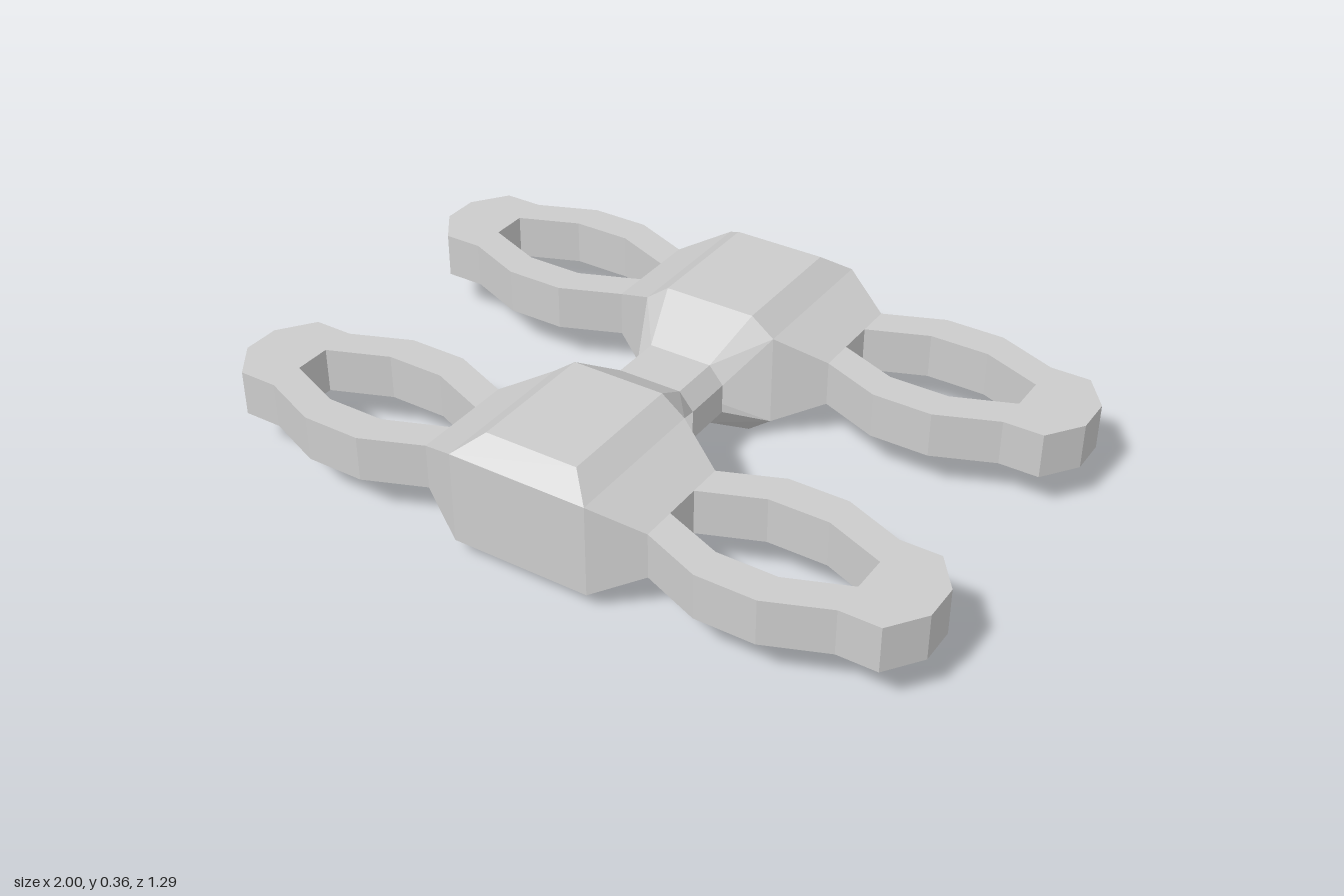
import * as THREE from 'three';
import { ConvexGeometry } from 'three/addons/geometries/ConvexGeometry.js';

const material = new THREE.MeshStandardMaterial({ color: 0xcccccc, flatShading: true });
const MID = 0.1785; // height of the horizontal symmetry plane

function hull(name, points) {
  const mesh = new THREE.Mesh(new ConvexGeometry(points.map((p) => new THREE.Vector3(...p))), material);
  mesh.name = name;
  return mesh;
}

// Corners of a level rectangle mirrored in x
const across = (x, y, z) => [[x, y, z], [-x, y, z]];

// Corners mirrored above and below the middle height
const upDown = (x, h, z) => [[x, MID + h, z], [x, MID - h, z]];

// Flat guard ring, open towards the pod; s = +1 / -1 for the side, zs for the end
function rotorGuard(s, zs) {
  const half = [
    [0.325, 0.148], [0.49, 0.215], [0.655, 0.215], [0.82, 0.148], [0.93, 0.148], [1, 0.052],
  ];
  const hole = [[0.82, 0.052], [0.655, 0.118], [0.49, 0.118], [0.325, 0.052]];
  const flip = (list) => list.map(([x, z]) => [x, -z]).reverse();
  const outline = [...half, ...flip(half), ...flip(hole), ...hole];
  const shape = new THREE.Shape(outline.map(([x, z]) => new THREE.Vector2(s * x, z)));
  const geometry = new THREE.ExtrudeGeometry(shape, { depth: 0.127, bevelEnabled: false });
  geometry.rotateX(-Math.PI / 2);
  geometry.translate(0, MID - 0.0635, zs * 0.43);
  const mesh = new THREE.Mesh(geometry, material);
  mesh.name = s > 0 ? 'leftRotorGuard' : 'rightRotorGuard';
  return mesh;
}

function createPod(zs) {
  const pod = new THREE.Group();
  pod.name = zs > 0 ? 'frontPod' : 'rearPod';

  // Chamfered core
  const core = [];
  for (const s of [1, -1]) {
    for (const z of [0.215, 0.58]) core.push(...upDown(s * 0.13, 0.1785, zs * z));
    for (const z of [0.215, 0.645]) core.push(...upDown(s * 0.195, 0.129, zs * z));
  }
  pod.add(hull('podBody', core));

  // Tapered shoulders and guards on both sides
  for (const s of [1, -1]) {
    const shoulder = [];
    for (const z of [0.215, 0.645]) shoulder.push(...upDown(s * 0.195, 0.129, zs * z));
    for (const z of [0.282, 0.578]) shoulder.push(...upDown(s * 0.325, 0.0635, zs * z));
    pod.add(hull(s > 0 ? 'leftShoulder' : 'rightShoulder', shoulder));
    pod.add(rotorGuard(s, zs));
  }

  // Sloping struts from the pod to the waist, above and below an open gap
  for (const v of [1, -1]) {
    pod.add(hull(v > 0 ? 'upperStrut' : 'lowerStrut', [
      ...across(0.13, MID + v * 0.1785, zs * 0.215),
      ...across(0.195, MID + v * 0.129, zs * 0.215),
      ...across(0.09, MID + v * 0.0895, zs * 0.072),
      ...across(0.13, MID + v * 0.0415, zs * 0.072),
    ]));
  }
  return pod;
}

export function createModel() {
  const model = new THREE.Group();
  model.name = 'twinPodFrame';
  model.add(createPod(1), createPod(-1));

  // Eight-sided waist block
  const waist = [];
  for (const z of [0.072, -0.072]) {
    for (const s of [1, -1]) {
      waist.push(...upDown(s * 0.09, 0.0895, z), ...upDown(s * 0.13, 0.0415, z));
    }
  }
  model.add(hull('waist', waist));
  return model;
}
